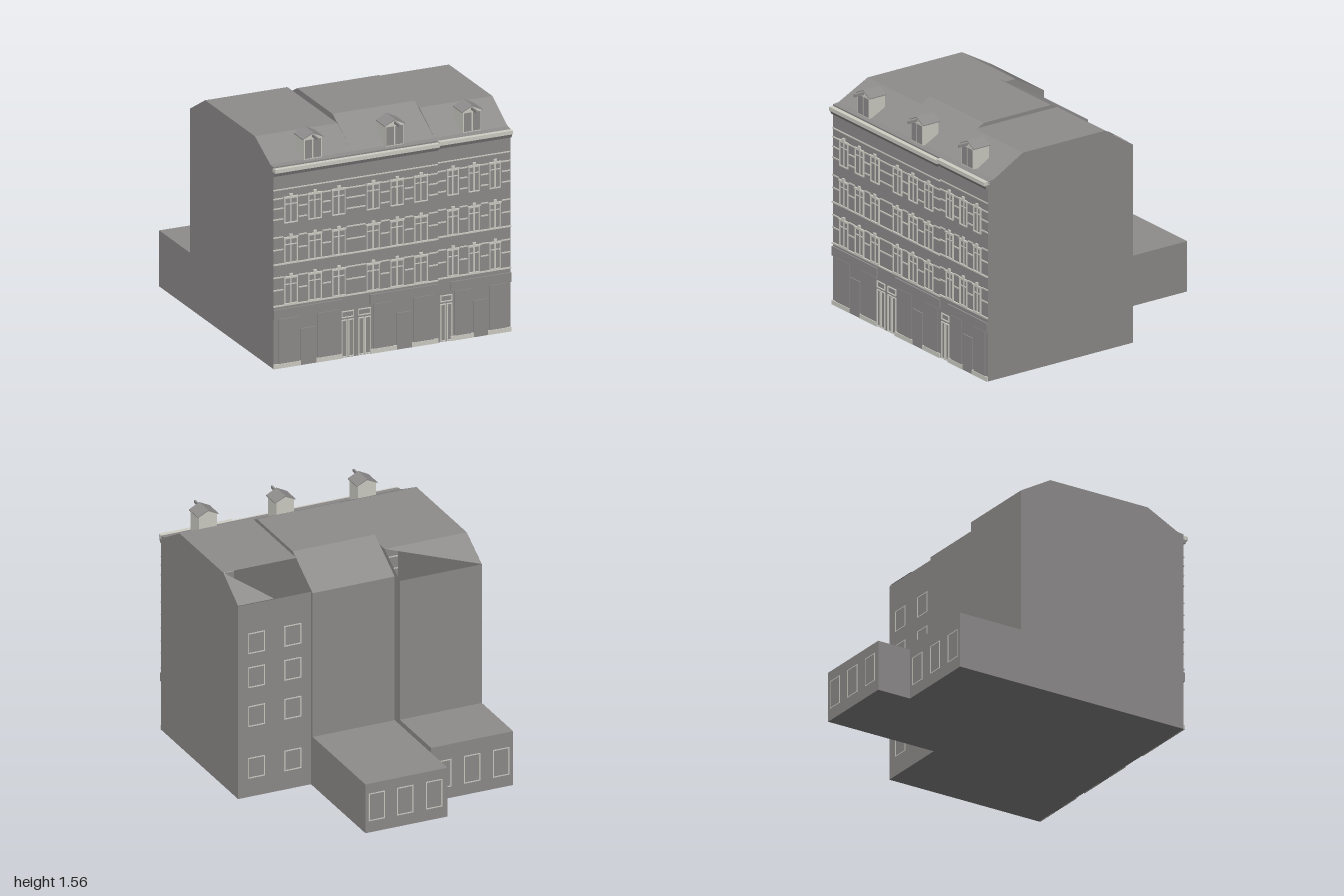
import * as THREE from 'three';

const wall = new THREE.MeshStandardMaterial({ color: 0x8f8c8c, side: THREE.DoubleSide });
wall.name = 'grey wall';
const trim = new THREE.MeshStandardMaterial({ color: 0xcfcfc6, side: THREE.DoubleSide });
trim.name = 'pale trim';

const FRONT = 0.955;

export function createModel() {
  const root = new THREE.Group();
  root.name = 'townhouseRow';

  const add = (parent, name, geo, mat) => {
    const m = new THREE.Mesh(geo, mat);
    m.name = name;
    parent.add(m);
    return m;
  };
  const group = (name, parent = root) => {
    const g = new THREE.Group();
    g.name = name;
    parent.add(g);
    return g;
  };
  // box given by its extents
  const box = (parent, name, mat, x0, x1, y0, y1, z0, z1) => {
    const m = add(parent, name, new THREE.BoxGeometry(x1 - x0, y1 - y0, z1 - z0), mat);
    m.position.set((x0 + x1) / 2, (y0 + y1) / 2, (z0 + z1) / 2);
    return m;
  };
  // rectangular outline on a wall facing +z or -z
  const frame = (parent, name, x0, x1, y0, y1, z0, z1, t = 0.007) => {
    box(parent, name, trim, x0, x0 + t, y0, y1, z0, z1);
    box(parent, name, trim, x1 - t, x1, y0, y1, z0, z1);
    box(parent, name, trim, x0 + t, x1 - t, y1 - t, y1, z0, z1);
    box(parent, name, trim, x0 + t, x1 - t, y0, y0 + t, z0, z1);
  };
  // hollow prism along x from a convex [z, y] profile; skipped edges take custom triangles
  const prism = (x0, x1, profile, skip = -1, extra = []) => {
    const pos = [];
    const tri = (...pts) => pts.forEach((p) => pos.push(...p));
    const n = profile.length;
    const P = (x, i) => [x, profile[i % n][1], profile[i % n][0]];
    for (let i = 0; i < n; i++) {
      if (i === skip) continue;
      tri(P(x1, i), P(x1, i + 1), P(x0, i + 1));
      tri(P(x1, i), P(x0, i + 1), P(x0, i));
    }
    for (let i = 1; i < n - 1; i++) {
      tri(P(x1, 0), P(x1, i + 1), P(x1, i));
      tri(P(x0, 0), P(x0, i), P(x0, i + 1));
    }
    extra.forEach((t) => tri(...t));
    const g = new THREE.BufferGeometry();
    g.setAttribute('position', new THREE.Float32BufferAttribute(pos, 3));
    g.computeVertexNormals();
    return g;
  };

  // the back slopes of the two outer houses are only partly covered
  const houses = [
    { name: 'leftmost', x0: -0.84, x1: -0.26, h: 1.49, rf: 0.68, rb: -0.065, zb: -0.29, dy: 0, skip: 4,
      extra: [[[-0.26, 1.49, -0.065], [-0.84, 1.36, -0.285], [-0.84, 1.49, -0.065]]],
      win: [-0.717, -0.548, -0.38], w: 0.094, dormer: -0.548,
      fascia: [-0.84, -0.355], panels: [[-0.805, -0.66], [-0.53, -0.365]], shopDoor: [-0.65, -0.54] },
    { name: 'middle', x0: -0.26, x1: 0.32, h: 1.53, rf: 0.61, rb: 0.08, zb: -0.215, dy: 0, skip: -1, extra: [],
      win: [-0.137, 0.032, 0.2], w: 0.094, dormer: 0.03,
      fascia: [-0.16, 0.32], panels: [[-0.135, 0.01], [0.15, 0.295]], shopDoor: [0.028, 0.135] },
    { name: 'rightmost', x0: 0.32, x1: 0.835, h: 1.505, rf: 0.68, rb: 0.03, zb: -0.19, dy: 0.01, skip: 4,
      extra: [[[0.835, 1.505, 0.03], [0.835, 1.365, -0.19], [0.58, 1.365, -0.19]]],
      win: [0.425, 0.575, 0.723], w: 0.08, dormer: 0.575,
      fascia: [0.41, 0.835], panels: [[0.44, 0.555], [0.685, 0.805]], shopDoor: [0.57, 0.67] },
  ];
  const rows = [[0.427, 0.608], [0.705, 0.875], [0.977, 1.15]];

  for (const o of houses) {
    const g = group(o.name + 'House');
    const { x0, x1, dy } = o;
    add(g, 'walls', prism(x0, x1, [
      [FRONT, 0], [FRONT, 1.37], [0.91, 1.375], [o.rf, o.h], [o.rb, o.h], [o.zb, 1.36], [o.zb, 0],
    ], o.skip, o.extra), wall);

    // cornice with gutter
    add(g, 'cornice', prism(x0, x1, [
      [FRONT, 1.305 + dy], [0.968, 1.308 + dy], [0.98, 1.335 + dy], [FRONT, 1.335 + dy]]), wall);
    box(g, 'gutter', trim, x0, x1, 1.335 + dy, 1.36 + dy, 0.945, 0.987);
    box(g, 'friezeLine', trim, x0, x1, 1.207 + dy, 1.214 + dy, FRONT - 0.002, 0.961);

    // continuous sills and broken string courses
    for (const y of [0.418, 0.7]) box(g, 'sillBand', trim, x0, x1, y + dy, y + 0.009 + dy, FRONT - 0.002, 0.964);
    const gaps = [x0, ...o.win.flatMap((x) => [x - o.w / 2 - 0.008, x + o.w / 2 + 0.008]), x1];
    for (const y of [0.53, 0.615, 0.803, 0.888, 1.01, 1.083, 1.15])
      for (let i = 0; i < gaps.length; i += 2)
        box(g, 'stringCourse', trim, gaps[i], gaps[i + 1], y - 0.004 + dy, y + 0.004 + dy, FRONT - 0.002, 0.961);

    // front windows
    for (const [y0, y1] of rows) for (const x of o.win) {
      const a = y0 + dy, b = y1 + dy, hw = o.w / 2, ty = a + (b - a) * 0.74;
      const w = group('frontWindow', g);
      frame(w, 'windowFrame', x - hw, x + hw, a, b, FRONT - 0.002, 0.964, 0.006);
      box(w, 'mullion', trim, x - 0.005, x + 0.005, a, b, FRONT - 0.002, 0.96);
      box(w, 'transom', trim, x - hw, x + hw, ty - 0.003, ty + 0.003, FRONT - 0.002, 0.96);
      box(w, 'lintel', trim, x - hw - 0.004, x + hw + 0.004, b, b + 0.008, FRONT - 0.002, 0.967);
      box(w, 'keystone', trim, x - 0.011, x + 0.011, b + 0.008, b + 0.026, FRONT - 0.002, 0.967);
    }

    // shopfront
    box(g, 'shopFascia', wall, ...o.fascia, 0.337, 0.4, FRONT - 0.002, 0.966);
    for (const [a, b] of o.panels) box(g, 'shopWindow', wall, a, b, 0.03, 0.332, FRONT - 0.002, 0.961);
    box(g, 'shopDoor', wall, ...o.shopDoor, 0, 0.247, FRONT - 0.002, 0.963);
    box(g, 'plinth', trim, o.fascia[0], o.shopDoor[0], 0, 0.03, FRONT - 0.002, 0.965);
    box(g, 'plinth', trim, o.shopDoor[1], o.fascia[1], 0, 0.03, FRONT - 0.002, 0.965);

    // dormer with gabled roof and hoist beam
    const d = group('dormer', g);
    d.position.set(o.dormer, dy, 0);
    box(d, 'dormerBody', trim, -0.063, 0.063, 1.375, 1.514, 0.802, 0.928);
    for (const s of [-1, 1])
      box(d, 'dormerPane', wall, s < 0 ? -0.057 : 0.006, s < 0 ? -0.006 : 0.057, 1.381, 1.506, 0.926, 0.93);
    const gable = new THREE.Shape([[-0.063, 1.514], [0.063, 1.514], [0, 1.547]].map((p) => new THREE.Vector2(...p)));
    add(d, 'gable', new THREE.ExtrudeGeometry(gable, { depth: 0.126, bevelEnabled: false }), trim).position.z = 0.802;
    const cap = new THREE.Shape([[-0.073, 1.512], [0, 1.547], [0.073, 1.512], [0.073, 1.518], [0, 1.555], [-0.073, 1.518]]
      .map((p) => new THREE.Vector2(...p)));
    add(d, 'dormerRoof', new THREE.ExtrudeGeometry(cap, { depth: 0.133, bevelEnabled: false }), wall).position.z = 0.799;
    box(d, 'hoistBeam', wall, -0.006, 0.006, 1.522, 1.54, 0.92, 1.0);
  }

  // house entrance doors with fanlights
  for (const [a, b] of [[-0.36, -0.273], [-0.243, -0.153], [0.337, 0.42]]) {
    const e = group('entranceDoor');
    const m = (a + b) / 2;
    frame(e, 'fanlight', a, b, 0.272, 0.316, FRONT - 0.002, 0.963, 0.005);
    frame(e, 'doorLeaf', a, m - 0.003, 0.005, 0.258, FRONT - 0.002, 0.963, 0.006);
    frame(e, 'doorLeaf', m + 0.003, b, 0.005, 0.258, FRONT - 0.002, 0.963, 0.006);
  }

  // rear extensions with three windows each
  const extensions = [
    { x0: -0.84, x1: -0.26, z0: -0.755, z1: -0.29, h: 0.38, win: [-0.755, -0.55, -0.345] },
    { x0: -0.26, x1: 0.32, z0: -0.998, z1: -0.215, h: 0.345, win: [-0.165, 0.04, 0.24] },
  ];
  for (const e of extensions) {
    const g = group('rearExtension');
    box(g, 'extensionWalls', wall, e.x0, e.x1, 0, e.h, e.z0, e.z1);
    for (const x of e.win) frame(g, 'extensionWindow', x - 0.057, x + 0.057, 0.08, 0.275, e.z0 - 0.002, e.z0 + 0.002);
  }

  // rear windows of the rightmost house
  const rear = group('rearWindows');
  for (const x of [0.705, 0.45]) for (const y of [0.13, 0.495, 0.77, 1.01])
    frame(rear, 'rearWindow', x - 0.06, x + 0.06, y, y + 0.145, -0.193, -0.188);

  return root;
}
